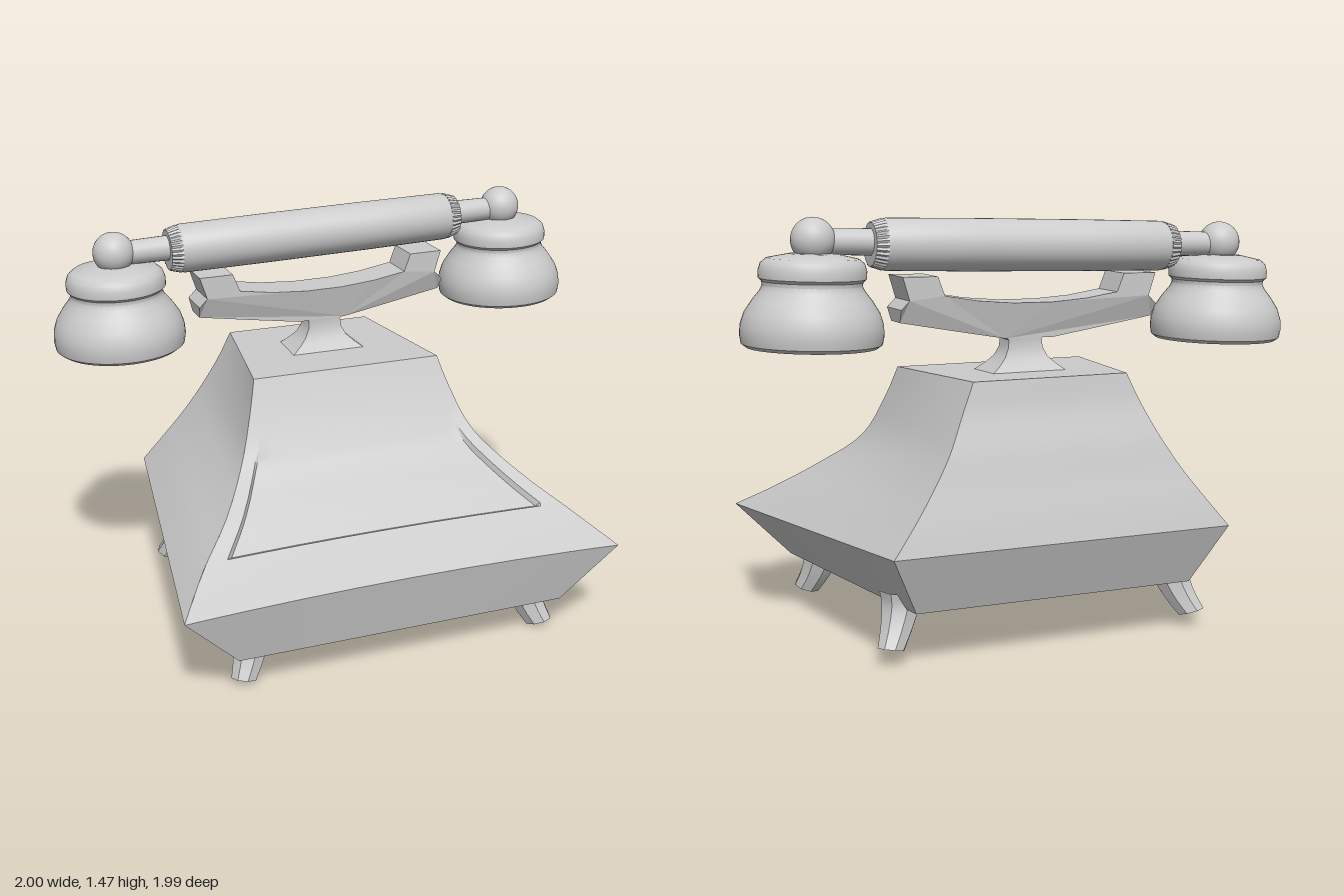
import * as THREE from 'three';
import { toCreasedNormals } from 'three/addons/utils/BufferGeometryUtils.js';

const V = (x, y, z) => new THREE.Vector3(x, y, z);
const material = new THREE.MeshStandardMaterial({ color: 0xcccccc });

function add(parent, name, geometry) {
  const mesh = new THREE.Mesh(geometry, material);
  mesh.name = name;
  parent.add(mesh);
  return mesh;
}

const steps = (n) => Array.from({ length: n + 1 }, (_, i) => i / n);

// Surface from fn(s, t): s runs to the right and t downward, seen from outside
function grid(fn, S, T, crease = 0.5) {
  const pos = [], index = [];
  T.forEach((t, j) => S.forEach((s, i) => {
    pos.push(...fn(s, t, i, j).toArray());
    if (i && j) {
      const c = j * S.length + i, b = c - 1, d = c - S.length, a = d - 1;
      index.push(a, b, d, b, c, d);
    }
  }));
  const g = new THREE.BufferGeometry();
  g.setAttribute('position', new THREE.Float32BufferAttribute(pos, 3));
  g.setIndex(index);
  return toCreasedNormals(g, crease);
}

const ruled = (left, right) => (s, t) => left(t).lerp(right(t), s);

function buildBody(root) {
  const body = new THREE.Group();
  body.name = 'body';
  root.add(body);

  // Flared corner edges from the top plate down to the rim
  const front = new THREE.CatmullRomCurve3([
    V(0.36, 0.935, -0.014), V(0.39, 0.83, 0.03), V(0.45, 0.68, 0.113),
    V(0.566, 0.55, 0.283), V(0.70, 0.44, 0.435), V(0.815, 0.345, 0.6)]);
  const back = new THREE.CatmullRomCurve3([
    V(0.283, 0.945, -0.54), V(0.33, 0.84, -0.56), V(0.39, 0.72, -0.60),
    V(0.46, 0.61, -0.63), V(0.535, 0.51, -0.66), V(0.615, 0.41, -0.686)]);
  const frontFoot = V(0.615, 0.14, 0.545), backFoot = V(0.51, 0.2, -0.6);
  const mirror = (f) => (t) => f(t).multiply(V(-1, 1, 1));
  const line = (a, b) => (t) => a.clone().lerp(b, t);
  const fl = (t) => front.getPoint(t), bl = (t) => back.getPoint(t);
  const flSkirt = line(fl(1), frontFoot), blSkirt = line(bl(1), backFoot);
  const bow = (s, amount) => amount * 4 * s * (1 - s);

  // Front slope with a recessed panel that fades out toward its top
  const S = [0, 0.055, 0.065, ...steps(8).slice(1, 8), 0.935, 0.945, 1];
  const T = [...steps(10).slice(0, 4), 0.36, 0.40, 0.44, 0.48, 0.54, 0.6, 0.66, 0.72, 0.755, 0.77, 0.85, 0.93, 1];
  const frontFace = ruled(mirror(fl), fl);
  add(body, 'frontSlope', grid((s, t) => {
    const p = frontFace(s, t);
    p.y += bow(s, 0.022 * t * t);
    if (s > 0.06 && s < 0.94 && t < 0.76) {
      p.addScaledVector(V(0, -0.016, -0.012), THREE.MathUtils.smoothstep(t, 0.36, 0.48));
    }
    return p;
  }, S, T));

  // Side and back slopes
  const rows = steps(20), cols = steps(8);
  add(body, 'leftSlope', grid(ruled(fl, bl), cols, rows));
  add(body, 'backSlope', grid(ruled(bl, mirror(bl)), cols, rows));
  add(body, 'rightSlope', grid(ruled(mirror(bl), mirror(fl)), cols, rows));

  // Skirt narrowing below the rim
  const skirtFront = ruled(mirror(flSkirt), flSkirt);
  add(body, 'frontSkirt', grid((s, t) => {
    const p = skirtFront(s, t);
    p.y += bow(s, 0.022 * (1 - t));
    return p;
  }, S, [0, 1]));
  add(body, 'leftSkirt', grid(ruled(flSkirt, blSkirt), cols, [0, 1]));
  add(body, 'backSkirt', grid(ruled(blSkirt, mirror(blSkirt)), cols, [0, 1]));
  add(body, 'rightSkirt', grid(ruled(mirror(blSkirt), mirror(flSkirt)), cols, [0, 1]));

  // Top plate and underside
  const top = line(bl(0), fl(0)), under = line(frontFoot, backFoot);
  add(body, 'topPlate', grid(ruled(mirror(top), top), [0, 1], [0, 1]));
  add(body, 'underside', grid(ruled(mirror(under), under), [0, 1], [0, 1]));
}

// Curved foot that drops, then kicks outward at its tip; the last ring closes the end
function buildFoot(root, name, x, z, top, tip, sweep) {
  const dx = Math.sign(x) * Math.SQRT1_2, dz = Math.sign(z) * Math.SQRT1_2;
  const curve = new THREE.CatmullRomCurve3([0, 0.02, 0.25, 0.58, 1].map((o, i) =>
    V(x + dx * o * sweep, top + (tip - top) * i / 4, z + dz * o * sweep)));
  add(root, name, grid((s, t, i, j) => {
    const r = j === 9 ? 0 : 0.08 - 0.032 * t;
    const a = s * Math.PI * 2;
    const out = r * Math.cos(a), side = r * Math.sin(a) * 0.95;
    return curve.getPoint(t).add(
      V(dx * out + dz * side, 0.3 * t * out, dz * out - dx * side));
  }, steps(8), [...steps(8), 1], 0.6));
}

function buildCradle(root) {
  const cradle = new THREE.Group();
  cradle.name = 'cradle';
  cradle.position.z = -0.285;
  root.add(cradle);

  // Flared rectangular pedestal: height, half width, half depth
  const rings = [[1.09, 0.1, 0.045], [1.05, 0.062, 0.04], [1.02, 0.065, 0.042],
    [0.99, 0.08, 0.05], [0.965, 0.105, 0.065], [0.935, 0.145, 0.085]];
  const corners = [[-1, 1], [1, 1], [1, -1], [-1, -1], [-1, 1]];
  add(cradle, 'pedestal', grid((s, t, i, j) => {
    const [y, w, d] = rings[j];
    return V(corners[i][0] * w, y, corners[i][1] * d);
  }, steps(4), steps(5), 0.7));

  // Arm with an upright rest at each end, its underside narrowed like a keel
  const half = [[0.09, 1.055], [0.27, 1.085], [0.475, 1.12], [0.48, 1.165], [0.45, 1.195],
    [0.475, 1.275], [0.35, 1.275], [0.325, 1.21], [0.2, 1.19], [0.07, 1.18]];
  const outline = [...half, ...half.map(([x, y]) => [-x, y]).reverse()];
  const shape = new THREE.Shape(outline.map(([x, y]) => new THREE.Vector2(x, y)));
  const arm = new THREE.ExtrudeGeometry(shape, { depth: 0.145, bevelEnabled: false });
  arm.translate(0, 0, -0.0725);
  const p = arm.attributes.position;
  for (let i = 0; i < p.count; i++) {
    if (p.getY(i) < 1.14) p.setZ(i, p.getZ(i) * 0.6);
  }
  arm.computeVertexNormals();
  add(cradle, 'cradleArm', arm).rotation.z = 0.012;
}

function lathe(points, segments, crease = 0.6) {
  return toCreasedNormals(new THREE.LatheGeometry(
    points.map(([r, y]) => new THREE.Vector2(r, y)), segments), crease);
}

function buildHandset(root) {
  const handset = new THREE.Group();
  handset.name = 'handset';
  handset.position.set(-0.012, 1.388, -0.311);
  handset.rotation.z = 0.026;
  root.add(handset);

  const grip = add(handset, 'grip', lathe([[0, -0.535], [0.08, -0.535], [0.088, -0.515],
    [0.09, -0.2], [0.09, 0.2], [0.088, 0.515], [0.08, 0.535], [0, 0.535]], 40));
  grip.rotation.z = Math.PI / 2;
  grip.position.y = -0.014;

  const cup = [[0, -0.35], [0.216, -0.35], [0.232, -0.338], [0.237, -0.31], [0.235, -0.275],
    [0.222, -0.235], [0.196, -0.195], [0.172, -0.165], [0.164, -0.148], [0.166, -0.135],
    [0.177, -0.125], [0.178, -0.1], [0.17, -0.075], [0.152, -0.06], [0.08, -0.045], [0, -0.04]];

  for (const side of [-1, 1]) {
    const end = new THREE.Group();
    end.name = side < 0 ? 'rightEnd' : 'leftEnd';
    handset.add(end);

    // Knurled collar: ridged by alternating the radius
    const collar = new THREE.CylinderGeometry(0.074, 0.086, 0.04, 64, 1).toNonIndexed();
    const p = collar.attributes.position;
    for (let i = 0; i < p.count; i++) {
      const step = Math.round(Math.atan2(p.getZ(i), p.getX(i)) / (Math.PI / 32));
      const k = step % 2 ? 0.95 : 1.01;
      p.setXYZ(i, p.getX(i) * k, p.getY(i), p.getZ(i) * k);
    }
    collar.computeVertexNormals();
    const ring = add(end, 'collar', collar);
    ring.rotation.z = -side * Math.PI / 2;
    ring.position.set(side * 0.548, -0.014, 0);

    const rod = add(end, 'rod', new THREE.CylinderGeometry(0.042, 0.046, 0.24, 24));
    rod.rotation.z = -side * Math.PI / 2;
    rod.position.set(side * 0.64, -0.006, 0);

    add(end, 'ball', new THREE.SphereGeometry(0.074, 32, 20)).position.x = side * 0.764;
    add(end, 'cup', lathe(cup, 48)).position.x = side * 0.764;
  }
}

export function createModel() {
  const model = new THREE.Group();
  model.name = 'telephone';
  const root = new THREE.Group();
  root.name = 'turnedTelephone';
  root.rotation.y = Math.PI / 4;
  model.add(root);

  buildBody(root);
  for (const side of [-1, 1]) {
    const label = side < 0 ? 'Right' : 'Left';
    buildFoot(root, `front${label}Foot`, side * 0.525, 0.415, 0.2, 0.022, 0.07);
    buildFoot(root, `back${label}Foot`, side * 0.51, -0.455, 0.25, 0.062, 0.085);
  }
  buildCradle(root);
  buildHandset(root);
  return model;
}
